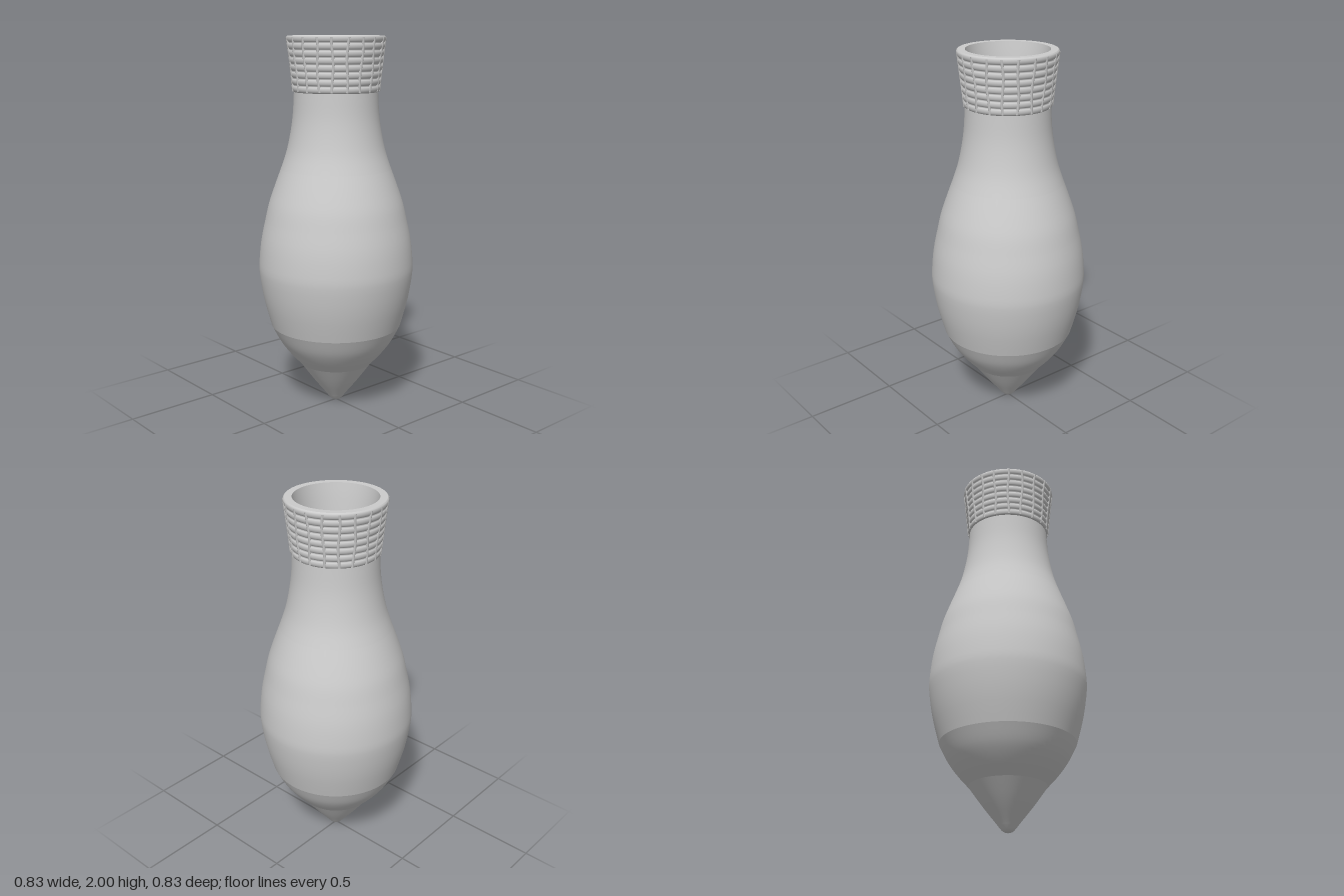
import * as THREE from 'three';

const material = new THREE.MeshStandardMaterial({ color: 0xcccccc, side: THREE.DoubleSide });
const v2 = ([r, y]) => new THREE.Vector2(r, y);

// Smooth curve through a few [radius, height] points
const smooth = (points, n) => new THREE.SplineCurve(points.map(v2)).getPoints(n);

function addMesh(parent, name, geometry) {
  const mesh = new THREE.Mesh(geometry, material);
  mesh.name = name;
  parent.add(mesh);
  return mesh;
}

// Outer wall, in sections that meet at soft creases
const sections = [
  [[0, 0], [0.025, 0.008], [0.045, 0.03], [0.062, 0.052], [0.13, 0.138], [0.2, 0.235]],
  [[0.2, 0.235], [0.255, 0.295], [0.31, 0.37], [0.354, 0.455]],
  [[0.354, 0.455], [0.392, 0.6], [0.414, 0.74], [0.414, 0.82], [0.402, 0.93], [0.381, 1.03]],
  [[0.381, 1.03], [0.36, 1.12], [0.33, 1.21], [0.293, 1.31]],
  [[0.293, 1.31], [0.263, 1.4], [0.241, 1.5], [0.227, 1.6], [0.22, 1.72]],
];

// Hollow inside, from the lip down to the pointed floor
const inside = [[0.215, 2], [0.203, 1.92], [0.19, 1.8], [0.188, 1.71], [0.195, 1.6], [0.232, 1.4],
  [0.298, 1.21], [0.35, 1.03], [0.383, 0.8], [0.36, 0.6], [0.318, 0.44], [0.165, 0.24], [0.035, 0.065], [0, 0.05]];

const collarBottom = 1.712, collarTop = 2, rings = 8, cords = 20;
const collarRadius = (y) => {
  const t = (y - collarBottom) / (collarTop - collarBottom);
  return 0.219 + 0.027 * t + 0.005 * t * t;
};

export function createModel() {
  const group = new THREE.Group();
  group.name = 'vessel';

  // Body
  const body = new THREE.Group();
  body.name = 'body';
  group.add(body);
  for (const points of sections) addMesh(body, 'bodyWall', new THREE.LatheGeometry(smooth(points, 14), 80));
  addMesh(group, 'innerWall', new THREE.LatheGeometry(smooth(inside, 60), 80));

  // Collar: rounded horizontal ribs stacked up the flaring mouth
  const collar = new THREE.Group();
  collar.name = 'collar';
  group.add(collar);
  const ribs = [v2([0.2, collarBottom])];
  const steps = rings * 8;
  for (let i = 0; i <= steps; i++) {
    const y = collarBottom + (collarTop - collarBottom) * i / steps;
    const bulge = Math.sqrt(Math.abs(Math.sin(Math.PI * rings * i / steps)));
    ribs.push(v2([collarRadius(y) + 0.009 * bulge, y]));
  }
  addMesh(collar, 'ribbedBand', new THREE.LatheGeometry(ribs, 80));

  // Flat lip
  const lip = addMesh(collar, 'lip', new THREE.RingGeometry(0.214, 0.251, 80));
  lip.rotation.x = -Math.PI / 2;
  lip.position.y = collarTop;

  // Slightly wavering upright cords laid across the ribs
  for (let i = 0; i < cords; i++) {
    const angle = (i + 0.5) / cords * Math.PI * 2;
    const path = [];
    for (let j = 0; j <= 6; j++) {
      const y = collarBottom + 0.006 + (collarTop - collarBottom - 0.014) * j / 6;
      const a = angle + 0.018 * Math.sin(j * 1.1 + i * 2.3);
      const r = collarRadius(y) + 0.004;
      path.push(new THREE.Vector3(Math.sin(a) * r, y, Math.cos(a) * r));
    }
    addMesh(collar, 'uprightCord', new THREE.TubeGeometry(new THREE.CatmullRomCurve3(path), 18, 0.0075, 8));
  }
  return group;
}
